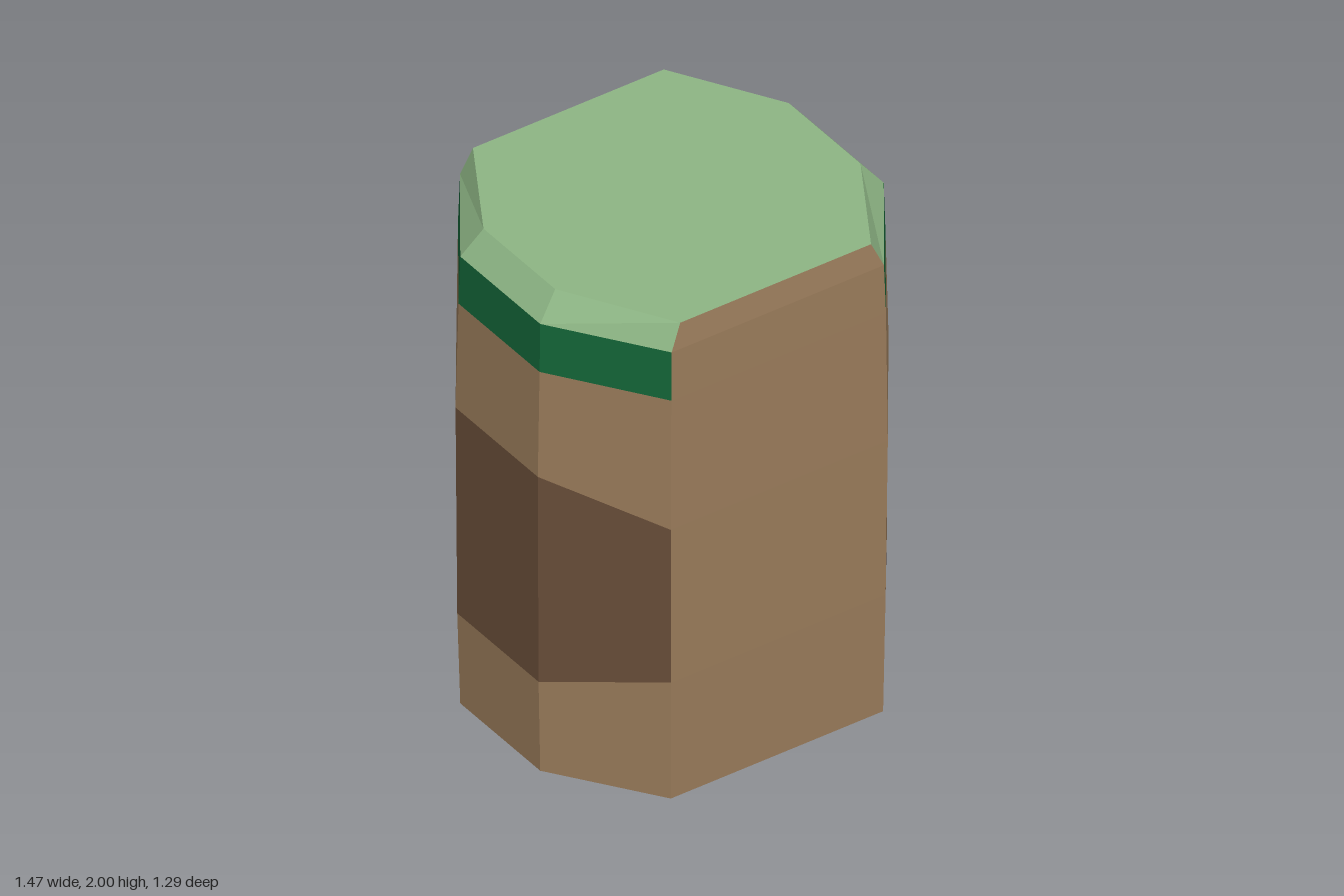
import * as THREE from 'three';

// Levels of the body, bottom to top: heights and positions of the two corner types
// A = corner beside the front/back panel, B = outer side corner
const levels = [
  { A: [0.445, 0.00, 0.630], B: [0.720, 0.000, 0.240] },
  { A: [0.450, 0.50, 0.638], B: [0.730, 0.385, 0.244] },
  { A: [0.455, 1.155, 0.644], B: [0.735, 1.26, 0.247] },
  { A: [0.450, 1.70, 0.640], B: [0.725, 1.70, 0.243] },
  { A: [0.445, 1.90, 0.635], B: [0.720, 1.90, 0.240] },
  { A: [0.400, 2.00, 0.622], B: [0.640, 2.00, 0.215] },
];

// Mirror the two corners into an octagon, counter-clockwise from above
function ring({ A, B }) {
  const m = ([x, y, z], sx, sz) => [x * sx, y, z * sz];
  return [m(A, 1, 1), m(B, 1, 1), m(B, 1, -1), m(A, 1, -1),
    m(A, -1, -1), m(B, -1, -1), m(B, -1, 1), m(A, -1, 1)];
}
const rings = levels.map(ring);

const quad = (level, i) => {
  const j = (i + 1) % 8, lo = rings[level], hi = rings[level + 1];
  return [lo[i], lo[j], hi[j], hi[i]];
};

// Flat-shaded mesh from convex polygons
function panel(name, color, polygons) {
  const pos = [];
  for (const p of polygons)
    for (let k = 1; k < p.length - 1; k++) pos.push(...p[0], ...p[k], ...p[k + 1]);
  const geo = new THREE.BufferGeometry();
  geo.setAttribute('position', new THREE.Float32BufferAttribute(pos, 3));
  geo.computeVertexNormals();
  const mesh = new THREE.Mesh(geo, new THREE.MeshStandardMaterial({ color, flatShading: true }));
  mesh.name = name;
  return mesh;
}

export function createModel() {
  const group = new THREE.Group();
  group.name = 'barrel';
  const brown = 0x9a7c5b, darkBrown = 0x6b4f3a, darkGreen = 0x146638, green = 0x8db584;

  // Coloured bands around the six side faces
  const sides = [0, 1, 2, 4, 5, 6];
  const bands = [
    ['lowerBand', brown], ['middleBand', darkBrown], ['upperBand', brown],
    ['rimBand', darkGreen], ['topBevel', green],
  ];
  bands.forEach(([name, color], level) =>
    group.add(panel(name, color, sides.map((i) => quad(level, i)))));

  // Plain full-height panels
  const column = (i) => bands.map((_, level) => quad(level, i));
  group.add(panel('frontPanel', brown, column(7)));
  group.add(panel('backPanel', green, column(3)));

  // Caps
  group.add(panel('topCap', green, [rings[5]]));
  group.add(panel('bottomCap', green, [[...rings[0]].reverse()]));
  return group;
}
